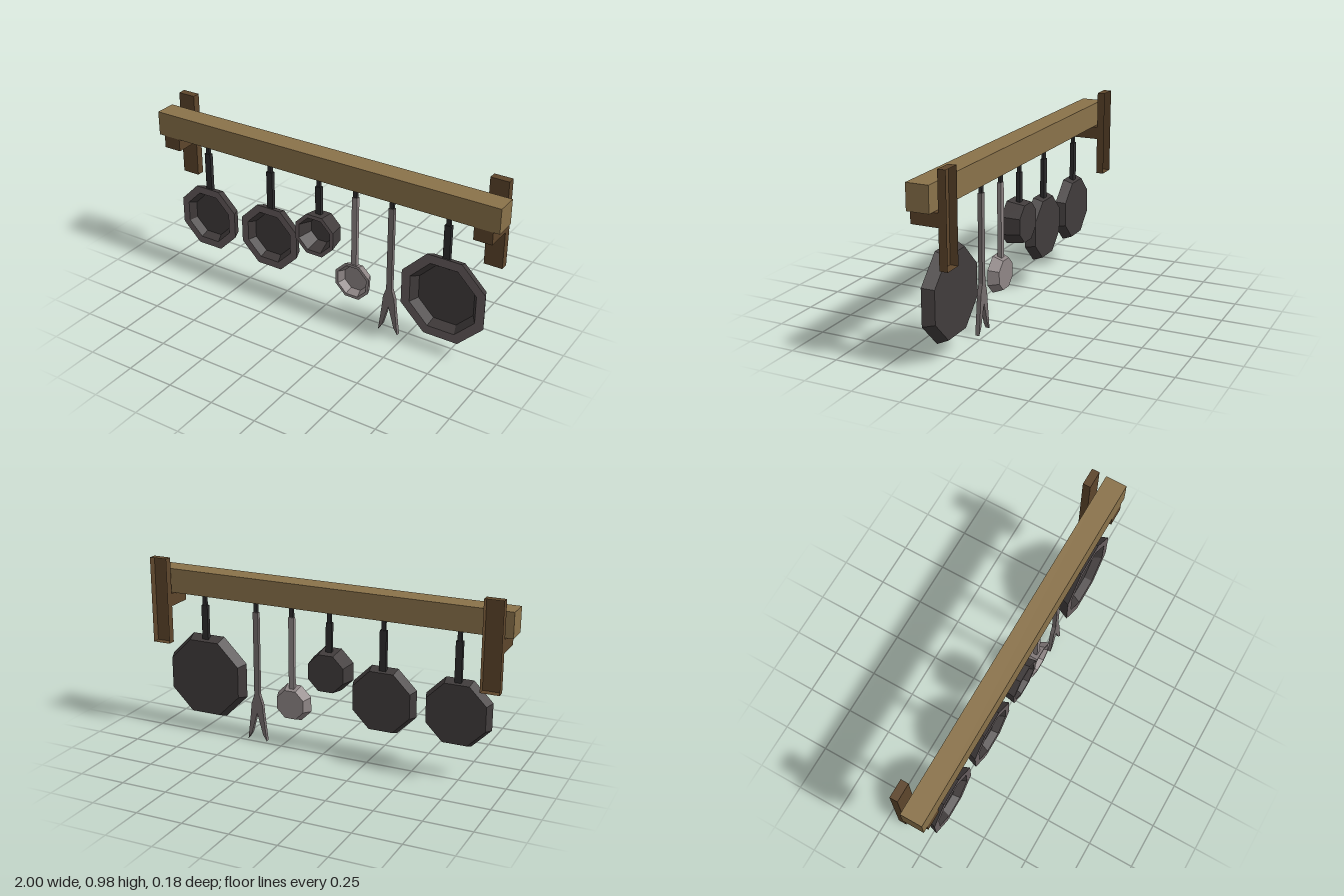
import * as THREE from 'three';

const mat = (color, side = THREE.FrontSide) =>
  new THREE.MeshStandardMaterial({ color, flatShading: true, side });

const MATS = {
  beam: mat(0x8a724a),
  post: mat(0x5d452b, THREE.DoubleSide),
  iron: mat(0x413c3c),
  rim: mat(0x665d5e),
  grip: mat(0x2d2c2d),
  steel: mat(0x8f8686),
  fork: mat(0x756d6d),
};
const HANG_Z = 0.034; // plane the utensils hang in
const HOOK_Y = 0.72; // top of every handle

function add(parent, name, geometry, material) {
  const mesh = new THREE.Mesh(geometry, material);
  mesh.name = name;
  parent.add(mesh);
  return mesh;
}

// Box given by its limits on each axis
function box(parent, name, [x0, x1], [y0, y1], [z0, z1], material) {
  const mesh = add(parent, name, new THREE.BoxGeometry(x1 - x0, y1 - y0, z1 - z0), material);
  mesh.position.set((x0 + x1) / 2, (y0 + y1) / 2, (z0 + z1) / 2);
  return mesh;
}

// Eight-sided turned form facing +z; radii are measured to the flats
function octagon(points) {
  const k = 1 / Math.cos(Math.PI / 8);
  const profile = points.map(([r, z]) => new THREE.Vector2(r * k, z));
  return new THREE.LatheGeometry(profile, 8, Math.PI / 8).rotateX(Math.PI / 2);
}

// Thin dark hook under the beam, and the handle below it
function hookAndHandle(group, half, bottom, material) {
  box(group, 'hook', [-0.011, 0.011], [HOOK_Y, 0.79], [HANG_Z - 0.008, HANG_Z + 0.008], MATS.grip);
  box(group, 'handle', [-half, half], [bottom, HOOK_Y], [HANG_Z - 0.011, HANG_Z + 0.011], material);
}

// Hollow vessel with a flat rim, used for pans, pot and ladle
function vessel(root, o) {
  const group = new THREE.Group();
  group.name = o.name;
  group.position.x = o.x;
  root.add(group);
  hookAndHandle(group, o.handle, o.y + o.r - 0.02, o.handleMat);

  const outside = octagon([[0, o.back], [o.rBack, o.back], [o.r, o.front]]);
  const rim = octagon([[o.r, o.front], [o.rInner, o.front]]);
  const inside = octagon([[o.rInner, o.front], [o.rFloor, o.floor], [0, o.floor]]);
  add(group, 'outerShell', outside, o.bodyMat).position.y = o.y;
  add(group, 'rim', rim, o.rimMat).position.y = o.y;
  add(group, 'innerShell', inside, o.bodyMat).position.y = o.y;
}

function fork(root, x) {
  const group = new THREE.Group();
  group.name = 'fork';
  group.position.x = x;
  root.add(group);
  hookAndHandle(group, 0.015, 0.25, MATS.fork);

  // Two-pronged head, right half mirrored to the left
  const half = [[0.015, 0.26], [0.033, 0.205], [0.038, 0.15], [0.056, 0.0], [0.034, 0.035]];
  const outline = [
    ...half,
    [0, 0.155],
    ...half.slice().reverse().map(([px, py]) => [-px, py]),
  ].map(([px, py]) => new THREE.Vector2(px, py));
  const head = new THREE.ExtrudeGeometry(new THREE.Shape(outline), {
    depth: 0.022,
    bevelEnabled: false,
  });
  add(group, 'forkHead', head, MATS.fork).position.z = HANG_Z - 0.011;
}

// Wall post with an open back, and the arm that carries the beam
function bracket(root, side) {
  const group = new THREE.Group();
  group.name = side > 0 ? 'leftBracket' : 'rightBracket';
  group.position.x = side * 0.918;
  root.add(group);
  const post = box(group, 'post', [-0.049, 0.049], [0.517, 0.983], [-0.092, -0.05], MATS.post);
  // Drop the last box face, which looks towards the wall
  const index = Array.from(post.geometry.index.array);
  post.geometry.setIndex(index.slice(0, 30));
  post.geometry.clearGroups();
  box(group, 'arm', [-0.049, 0.049], [0.717, 0.785], [-0.05, 0.091], MATS.post);
}

export function createModel() {
  const root = new THREE.Group();
  root.name = 'utensilRack';

  box(root, 'beam', [-1, 1], [0.785, 0.916], [-0.024, 0.092], MATS.beam);
  [-1, 1].forEach((side) => bracket(root, side));

  const dark = { bodyMat: MATS.iron, rimMat: MATS.rim, handleMat: MATS.grip };
  const pan = {
    ...dark, y: 0.343, r: 0.175, rBack: 0.157, rInner: 0.135, rFloor: 0.112,
    front: 0.06, back: 0.008, floor: 0.022, handle: 0.018,
  };
  vessel(root, { ...pan, name: 'outerPan', x: -0.72 });
  vessel(root, { ...pan, name: 'innerPan', x: -0.32 });
  vessel(root, {
    ...dark, name: 'smallPot', x: -0.02, y: 0.457, r: 0.114, rBack: 0.099, rInner: 0.093,
    rFloor: 0.068, front: 0.083, back: -0.016, floor: 0.004, handle: 0.016,
  });
  vessel(root, {
    bodyMat: MATS.steel, rimMat: MATS.steel, handleMat: MATS.steel,
    name: 'ladle', x: 0.196, y: 0.243, r: 0.098, rBack: 0.077, rInner: 0.083,
    rFloor: 0.066, front: 0.06, back: 0.005, floor: 0.02, handle: 0.015,
  });
  fork(root, 0.405);
  vessel(root, {
    ...dark, name: 'largePan', x: 0.714, y: 0.317, r: 0.229, rBack: 0.205, rInner: 0.181,
    rFloor: 0.152, front: 0.062, back: 0.005, floor: 0.02, handle: 0.018,
  });

  return root;
}
